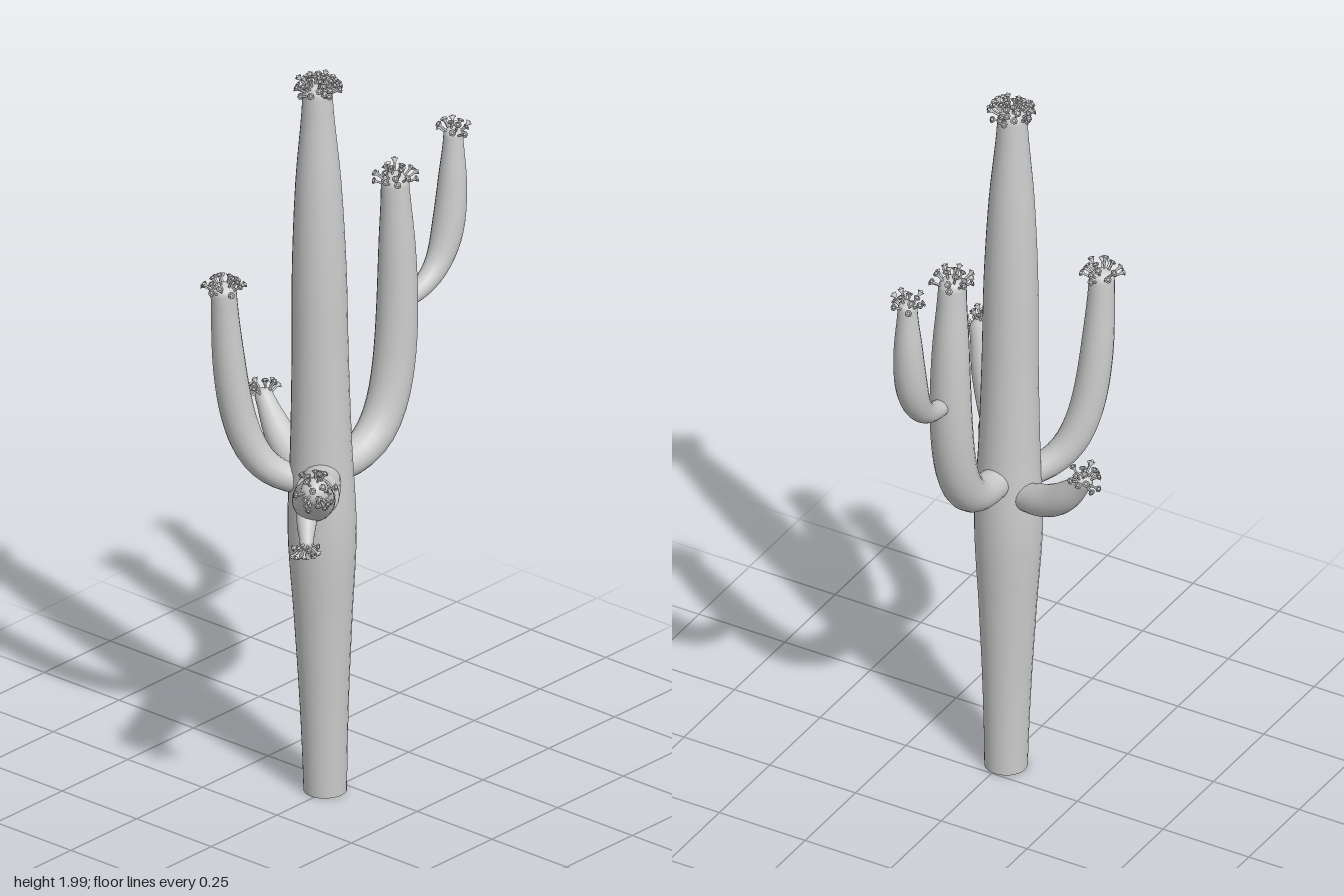
import * as THREE from 'three';
import { mergeGeometries } from 'three/addons/utils/BufferGeometryUtils.js';

const material = new THREE.MeshStandardMaterial({ color: 0xcccccc, side: THREE.DoubleSide });
const UP = new THREE.Vector3(0, 1, 0);
const DOME_STEPS = 6;

// Small seeded generator for the scatter of the blossoms
function seeded(seed) {
  return () => {
    seed = (seed * 16807) % 2147483647;
    return seed / 2147483647;
  };
}

// One blossom: thin stalk that flares into a cup with a bud inside
function blossomGeometry() {
  const profile = [[0.003, -0.01], [0.003, 0.02], [0.0095, 0.031], [0.004, 0.029]];
  const cup = new THREE.LatheGeometry(profile.map(([r, y]) => new THREE.Vector2(r, y)), 7);
  const bud = new THREE.SphereGeometry(0.0045, 6, 4).translate(0, 0.031, 0);
  return mergeGeometries([cup, bud]);
}

// Tapered tube that bends from root to tip around an elbow and ends in a dome;
// the radii are spread evenly along its length
function limbGeometry({ root, elbow, tip, radii, roundness = 0.85, sides = 20, steps = 24 }) {
  const [start, bend, end] = [root, elbow, tip].map((p) => new THREE.Vector3(...p));
  const curve = new THREE.CubicBezierCurve3(
    start, start.clone().lerp(bend, 0.8), end.clone().lerp(bend, 0.8), end
  );
  const girth = new THREE.SplineCurve(radii.map((r, i) => new THREE.Vector2(i, r)));
  const frames = curve.computeFrenetFrames(steps, false);
  const axis = frames.tangents[steps];
  const endRadius = radii[radii.length - 1];
  const dome = endRadius * roundness;
  const positions = [], index = [];

  const addRing = (center, radius, frame) => {
    for (let j = 0; j < sides; j++) {
      const a = (j / sides) * Math.PI * 2;
      const v = center.clone()
        .addScaledVector(frames.normals[frame], Math.cos(a) * radius)
        .addScaledVector(frames.binormals[frame], Math.sin(a) * radius);
      positions.push(v.x, v.y, v.z);
    }
  };
  for (let i = 0; i <= steps; i++) addRing(curve.getPointAt(i / steps), girth.getPoint(i / steps).y, i);
  for (let i = 1; i <= DOME_STEPS; i++) {
    const a = (i / DOME_STEPS) * Math.PI / 2;
    addRing(end.clone().addScaledVector(axis, Math.sin(a) * dome), Math.cos(a) * endRadius, steps);
  }

  for (let i = 0; i < steps + DOME_STEPS; i++) {
    for (let j = 0; j < sides; j++) {
      const a = i * sides + j, b = i * sides + (j + 1) % sides;
      index.push(a, b, a + sides, b, b + sides, a + sides);
    }
  }
  const geometry = new THREE.BufferGeometry();
  geometry.setAttribute('position', new THREE.Float32BufferAttribute(positions, 3));
  geometry.setIndex(index);
  geometry.computeVertexNormals();
  return { geometry, end, axis, endRadius, dome };
}

// Blossoms spread in a spiral over the dome at a limb's tip
function crownGeometry({ end, axis, endRadius, dome }, count, seed) {
  const random = seeded(seed);
  const blossom = blossomGeometry();
  const turn = new THREE.Quaternion().setFromUnitVectors(UP, axis);
  const parts = [];
  for (let i = 0; i < count; i++) {
    const polar = Math.sqrt((i + 0.5) / count) * 1.4;
    const around = i * 2.4 + random() * 0.7;
    const out = new THREE.Vector3().setFromSphericalCoords(1, polar, around);
    const place = out.clone().multiply(new THREE.Vector3(endRadius, dome, endRadius))
      .applyQuaternion(turn).add(end);
    const lean = out.clone().addScaledVector(UP, 0.25).applyQuaternion(turn).normalize();
    parts.push(blossom.clone().applyMatrix4(new THREE.Matrix4().compose(
      place,
      new THREE.Quaternion().setFromUnitVectors(UP, lean),
      new THREE.Vector3(1, 0.55 + random() * 0.5, 1)
    )));
  }
  return mergeGeometries(parts);
}

const limbs = [
  {
    name: 'trunk', root: [-0.01, 0, 0.055], elbow: [-0.01, 1, 0.072], tip: [-0.014, 1.935, 0.08],
    radii: [0.055, 0.062, 0.074, 0.087, 0.078, 0.072, 0.069, 0.058, 0.038],
    blossoms: 40, sides: 28, steps: 40,
  },
  {
    name: 'backArm', root: [-0.01, 0.88, 0.03], elbow: [-0.005, 0.87, -0.245], tip: [-0.008, 1.59, -0.208],
    radii: [0.04, 0.05, 0.054, 0.053, 0.047, 0.036], blossoms: 20,
  },
  {
    name: 'backArmBranch', root: [-0.005, 1.25, -0.22], elbow: [-0.005, 1.27, -0.425], tip: [-0.005, 1.65, -0.426],
    radii: [0.02, 0.03, 0.041, 0.037, 0.025], blossoms: 13,
  },
  {
    name: 'frontRightArm', root: [-0.03, 0.86, 0.09], elbow: [-0.165, 0.89, 0.23], tip: [-0.168, 1.4, 0.262],
    radii: [0.035, 0.043, 0.042, 0.033], blossoms: 18,
  },
  {
    name: 'rightArm', root: [-0.05, 0.83, 0.05], elbow: [-0.19, 0.862, 0.005], tip: [-0.278, 0.985, -0.016],
    radii: [0.035, 0.042, 0.038, 0.024], blossoms: 15,
  },
  {
    name: 'frontLeftArmBase', root: [0, 0.895, 0.075], elbow: [0.045, 0.885, 0.135], tip: [0.092, 0.9, 0.203],
    radii: [0.045, 0.052, 0.058], roundness: 0.07, blossoms: 0,
  },
  {
    name: 'frontLeftArm', root: [0.06, 0.89, 0.16], elbow: [0.13, 0.9, 0.265], tip: [0.258, 1.028, 0.398],
    radii: [0.045, 0.054, 0.052, 0.036], blossoms: 22,
  },
  {
    name: 'hangingBud', root: [0.15, 0.93, 0.305], elbow: [0.178, 0.895, 0.34], tip: [0.205, 0.855, 0.37],
    radii: [0.026, 0.025, 0.017], blossoms: 11,
  },
];

export function createModel() {
  const model = new THREE.Group();
  model.name = 'cactus';
  limbs.forEach((spec, i) => {
    const limb = limbGeometry(spec);
    const body = new THREE.Mesh(limb.geometry, material);
    body.name = spec.name;
    model.add(body);
    if (spec.blossoms) {
      const crown = new THREE.Mesh(crownGeometry(limb, spec.blossoms, 101 + i * 37), material);
      crown.name = spec.name + 'Blossoms';
      model.add(crown);
    }
  });
  return model;
}
